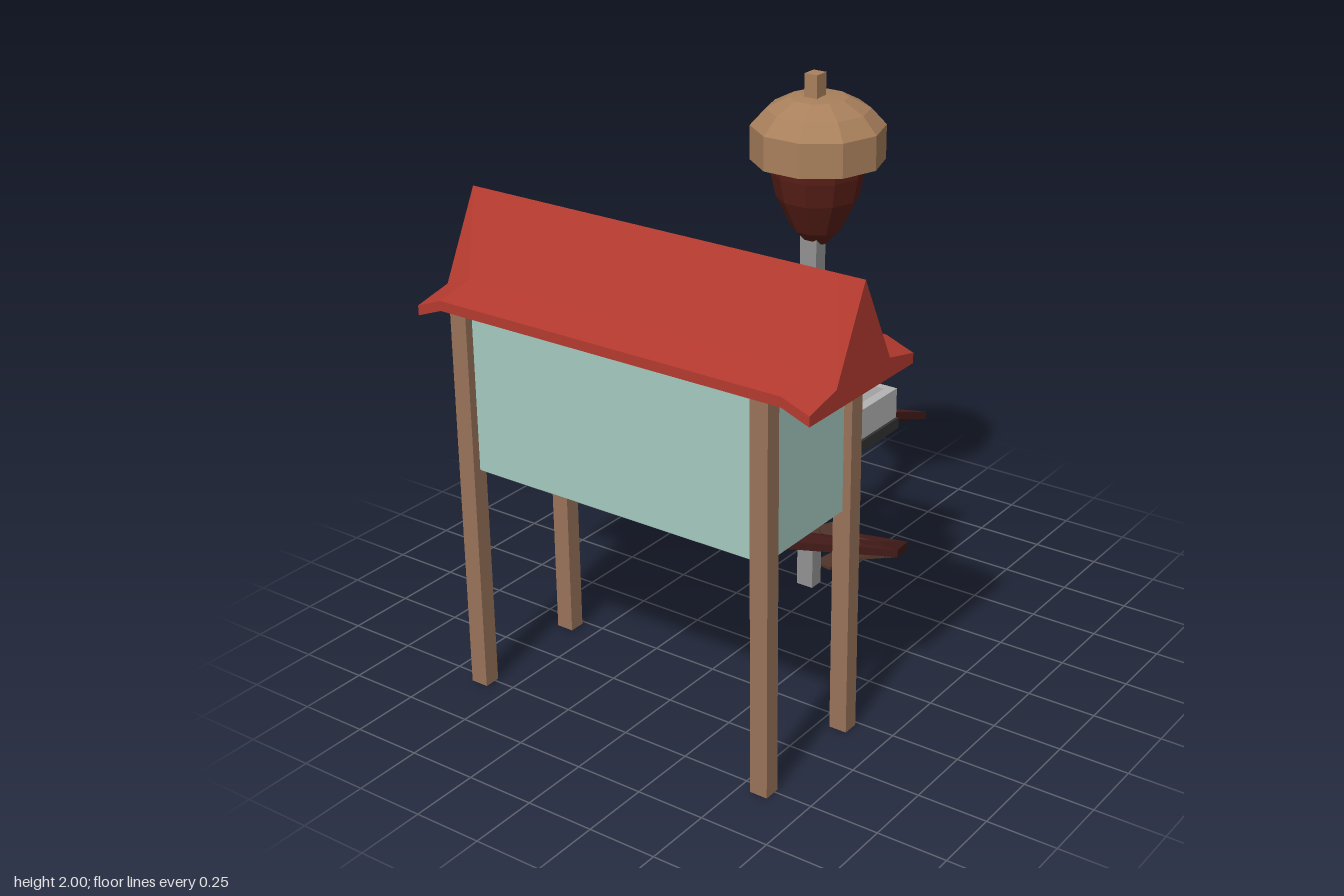
import * as THREE from 'three';

const mat = (color) => new THREE.MeshStandardMaterial({ color, flatShading: true, side: THREE.DoubleSide });
const M = {
  wall: mat(0xa5cabf), post: mat(0x9a735a), roof: mat(0xb43a2f), hut: mat(0xd2d873),
  deck: mat(0x333333), rail: mat(0xb4b4b4), pole: mat(0x929292), nut: mat(0x5a1f17),
  cap: mat(0xa9805c), stringer: mat(0x451c1a), tread: mat(0x50352a),
  door: mat(0xc596a0), glass: mat(0x9db8c8), frame: mat(0x86a2b5), sign: mat(0xa8427f),
};

function add(parent, name, geometry, material) {
  const mesh = new THREE.Mesh(geometry, material);
  mesh.name = name;
  parent.add(mesh);
  return mesh;
}

// Box given by its lower and upper limits on each axis
function box(parent, name, material, [x0, x1], [y0, y1], [z0, z1]) {
  const mesh = add(parent, name, new THREE.BoxGeometry(x1 - x0, y1 - y0, z1 - z0), material);
  mesh.position.set((x0 + x1) / 2, (y0 + y1) / 2, (z0 + z1) / 2);
  return mesh;
}

// Closed solid through equal-sized loops of corners
function loft(sections) {
  const n = sections[0].length;
  const last = (sections.length - 1) * n;
  const index = [];
  for (let s = 0; s < last; s += n) {
    for (let j = 0; j < n; j++) {
      const k = (j + 1) % n;
      index.push(s + j, s + k, s + n + k, s + j, s + n + k, s + n + j);
    }
  }
  for (let j = 1; j < n - 1; j++) index.push(0, j + 1, j, last, last + j, last + j + 1);
  const geo = new THREE.BufferGeometry();
  geo.setAttribute('position', new THREE.Float32BufferAttribute(sections.flat(2), 3));
  geo.setIndex(index);
  const flat = geo.toNonIndexed();
  flat.computeVertexNormals();
  return flat;
}

function buildHouse() {
  const g = new THREE.Group();
  g.name = 'house';
  box(g, 'houseBody', M.wall, [-0.61, 0.58], [0.83, 1.41], [0.295, 0.765]);
  for (const x of [-0.615, 0.577])
    for (const z of [0.295, 0.765])
      box(g, 'stiltPost', M.post, [x - 0.033, x + 0.033], [0, 1.41], [z - 0.03, z + 0.03]);

  // Steep ridge roof whose eaves droop at both ends
  const roofSection = (x, drop) => [
    [0.52, 1.4], [0.23, 1.4], [0.23, 1.435], [0.37, 1.467], [0.52, 1.73 + drop],
    [0.67, 1.467], [0.815, 1.435], [0.815, 1.4],
  ].map(([z, y]) => [x, y - drop, z]);
  add(g, 'roof', loft([
    roofSection(-0.77, 0.038), roofSection(-0.67, 0), roofSection(0.67, 0), roofSection(0.77, 0.038),
  ]), M.roof);

  // Back window
  box(g, 'windowFrame', M.frame, [-0.53, -0.22], [0.96, 1.25], [0.265, 0.3]);
  box(g, 'windowPane', M.glass, [-0.51, -0.24], [0.98, 1.23], [0.262, 0.27]);
  return g;
}

function buildHut() {
  const g = new THREE.Group();
  g.name = 'hut';
  // Six-sided plan, pinched at mid height, with a low ridge on top
  const plan = [[-0.305, 0.155], [-0.29, 0.31], [0.29, 0.31], [0.305, 0.155], [0.29, 0], [-0.29, 0]];
  const ring = (y, pinch = 1, frontZ = 0) =>
    plan.map(([x, z]) => [0.1 + x * pinch, y, z === 0 ? frontZ : z]);
  const top = ring(1.31).map(([x, y, z]) => [x, z === 0 ? y : z > 0.2 ? 1.37 : 1.395, z]);
  add(g, 'hutBody', loft([ring(0.83), ring(1.08, 0.95, 0.03), ring(1.31), top]), M.hut);
  box(g, 'door', M.door, [-0.02, 0.155], [0.87, 1.12], [-0.005, 0.03]);
  box(g, 'signBand', M.sign, [-0.17, 0.38], [1.28, 1.37], [-0.028, -0.005]).rotation.y = 0.02;

  // Balcony with a parapet that opens toward the stairs
  box(g, 'deck', M.deck, [-0.2, 0.395], [0.83, 0.87], [-0.325, 0.01]);
  box(g, 'parapet', M.rail, [0.35, 0.385], [0.87, 0.98], [-0.325, 0]);
  box(g, 'parapet', M.rail, [-0.19, -0.16], [0.87, 0.98], [-0.325, 0]);
  box(g, 'parapet', M.rail, [0.155, 0.35], [0.87, 0.98], [-0.325, -0.295]);
  box(g, 'parapet', M.rail, [-0.16, -0.05], [0.87, 0.98], [-0.325, -0.295]);
  return g;
}

function buildAcornTower() {
  const g = new THREE.Group();
  g.name = 'acornTower';
  box(g, 'pole', M.pole, [-0.105, -0.036], [0, 1.42], [-0.505, -0.446]);
  const lathe = (name, profile, material) => {
    const points = profile.map(([r, y]) => new THREE.Vector2(r, y));
    const mesh = add(g, name, new THREE.LatheGeometry(points, 10, Math.PI / 2), material);
    mesh.position.set(-0.068, 0, -0.498);
  };
  lathe('acornNut', [[0, 1.375], [0.035, 1.375], [0.09, 1.43], [0.148, 1.55], [0.168, 1.64], [0.172, 1.7]], M.nut);
  lathe('acornCap', [[0, 1.685], [0.24, 1.685], [0.24, 1.81], [0.185, 1.87], [0.105, 1.912], [0, 1.92]], M.cap);
  box(g, 'acornStem', M.cap, [-0.098, -0.045], [1.9, 2], [-0.51, -0.452]);
  return g;
}

function buildStairs() {
  const g = new THREE.Group();
  g.name = 'spiralStairs';
  // Centre line of the outer stringer, from the balcony to the ground
  const path = [
    [0.215, 0.84, -0.32], [0.215, 0.68, -0.72], [-0.16, 0.61, -0.715], [-0.375, 0.56, -0.59],
    [-0.3, 0.43, -0.18], [0.04, 0.36, -0.15], [0.295, 0.27, -0.44], [0.15, 0.1, -0.75], [-0.08, 0.045, -0.785],
  ].map((p) => new THREE.Vector3(...p));
  const up = new THREE.Vector3(0, 1, 0);
  const level = (a, b) => b.clone().sub(a).setY(0).normalize();
  const sections = path.map((p, i) => {
    const before = level(path[Math.max(i - 1, 0)], path[Math.max(i, 1)]);
    const after = level(path[Math.min(i, path.length - 2)], path[Math.min(i + 1, path.length - 1)]);
    const n = up.clone().cross(before.clone().add(after).normalize());
    const half = 0.042 / Math.max(0.75, n.dot(up.clone().cross(after)));
    return [[-1, -1], [1, -1], [1, 1], [-1, 1]].map(([s, h]) =>
      [p.x + n.x * half * s, p.y + h * 0.015, p.z + n.z * half * s]);
  });
  add(g, 'stringer', loft(sections), M.stringer);

  // Treads reach from the stringer toward the pole
  const pointAt = (y) => {
    const i = path.findIndex((p, k) => k > 0 && p.y <= y);
    return path[i - 1].clone().lerp(path[i], (path[i - 1].y - y) / (path[i - 1].y - path[i].y));
  };
  for (const y of [0.795, 0.705, 0.645, 0.59, 0.525, 0.435, 0.375, 0.325, 0.28, 0.22, 0.165, 0.11, 0.045]) {
    const outer = pointAt(y + 0.015);
    const dx = -0.07 - outer.x;
    const dz = -0.475 - outer.z;
    const tread = add(g, 'tread', new THREE.BoxGeometry(0.23, 0.012, 0.08), M.tread);
    const t = 0.115 / Math.hypot(dx, dz);
    tread.position.set(outer.x + dx * t, y, outer.z + dz * t);
    tread.rotation.y = Math.atan2(-dz, dx);
  }
  return g;
}

export function createModel() {
  const model = new THREE.Group();
  model.name = 'stiltTreehouse';
  model.add(buildHouse(), buildHut(), buildAcornTower(), buildStairs());
  return model;
}
